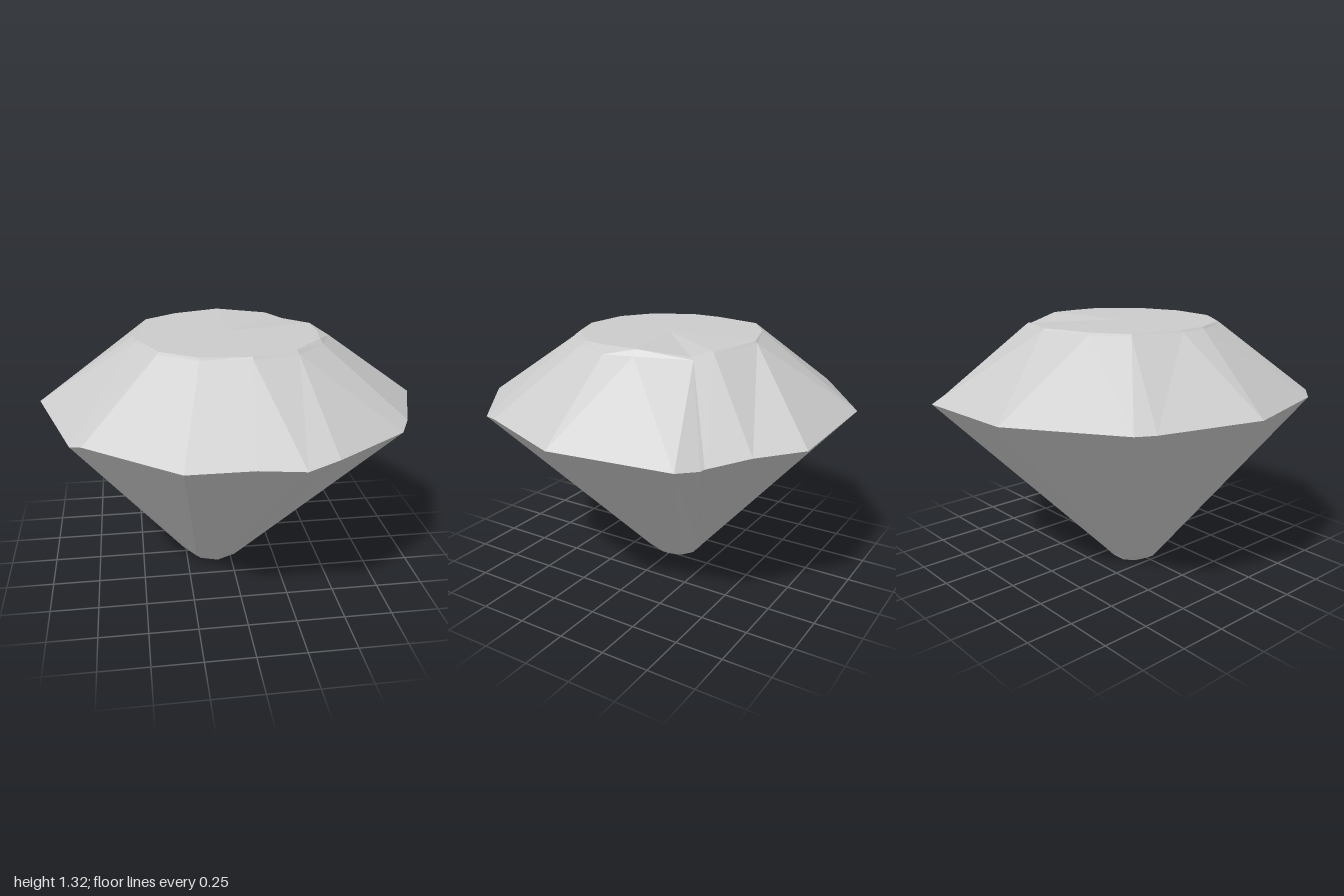
import * as THREE from 'three';

// Rings are listed as [x, y, z], turning from +x towards +z.
const tableRing = [
  [0.46, 1.32, 0.06], [0.44, 1.32, 0.21], [0.28, 1.32, 0.39], [0.05, 1.32, 0.48], [-0.2, 1.32, 0.46],
  [-0.38, 1.32, 0.34], [-0.48, 1.32, 0.12], [-0.48, 1.32, -0.03], [-0.42, 1.32, -0.3],
  [-0.25, 1.32, -0.42], [0, 1.32, -0.5], [0.27, 1.31, -0.41], [0.36, 1.29, -0.34], [0.46, 1.32, -0.1],
];
const shoulderRing = [
  [0.53, 1.29, 0.05], [0.45, 1.3, 0.24], [0.29, 1.3, 0.41], [0.05, 1.31, 0.49], [-0.2, 1.31, 0.48],
  [-0.39, 1.31, 0.35], [-0.49, 1.31, 0.12], [-0.49, 1.31, -0.03], [-0.43, 1.31, -0.31],
  [-0.26, 1.31, -0.43], [0, 1.31, -0.51], [0.28, 1.3, -0.42], [0.37, 1.28, -0.36], [0.49, 1.29, -0.1],
];
const girdleRing = [
  [1, 0.95, 0.03], [0.83, 0.97, 0.5], [0.77, 0.95, 0.61], [0.38, 0.96, 0.9], [0.22, 0.94, 0.96],
  [0, 0.95, 0.94], [-0.32, 0.95, 0.94], [-0.76, 0.97, 0.63], [-0.82, 0.95, 0.57], [-1, 0.97, -0.02],
  [-0.83, 0.96, -0.52], [-0.78, 0.96, -0.61], [-0.27, 0.96, -0.96], [0.36, 0.94, -0.95],
  [0.55, 0.93, -0.77], [0.73, 0.91, -0.63], [0.72, 0.89, -0.6], [0.82, 0.9, -0.53],
];
const tipRing = [
  [0.06, 0.03, 0.01], [0.02, 0.03, 0.12], [-0.08, 0.03, 0.17], [-0.2, 0.04, 0.13], [-0.27, 0.03, 0],
  [-0.24, 0.05, -0.1], [-0.17, 0.06, -0.16], [-0.06, 0.05, -0.16], [0.03, 0.04, -0.1],
];
const culetRing = tipRing.map(([x, , z]) => [-0.1 + (x + 0.1) * 0.72, 0, z * 0.72]);

function centre(ring) {
  return ring.reduce((c, p) => c.map((v, k) => v + p[k] / ring.length), [0, 0, 0]);
}

// Angles of the ring's points about its centre, rising from the first point
function angles(ring) {
  const c = centre(ring);
  const list = [];
  ring.forEach((p, i) => {
    let a = Math.atan2(p[2] - c[2], p[0] - c[0]);
    while (i > 0 && a < list[i - 1] - 1) a += 2 * Math.PI;
    list.push(a);
  });
  list.push(list[0] + 2 * Math.PI);
  return list;
}

// Faceted band joining two rings with different point counts
function band(lower, upper) {
  const la = angles(lower), ua = angles(upper), out = [];
  const lo = (i) => lower[i % lower.length], up = (j) => upper[j % upper.length];
  let i = 0, j = 0;
  while (i < lower.length || j < upper.length) {
    const stepLower = j >= upper.length || (i < lower.length && la[i + 1] <= ua[j + 1]);
    if (stepLower) {
      out.push(lo(i), up(j), lo(i + 1));
      i++;
    } else {
      out.push(lo(i), up(j), up(j + 1));
      j++;
    }
  }
  return out;
}

// Flat fan closing a ring
function cap(ring, facesUp) {
  const c = centre(ring);
  return ring.flatMap((p, i) => {
    const next = ring[(i + 1) % ring.length];
    return facesUp ? [c, next, p] : [c, p, next];
  });
}

export function createModel() {
  const gem = new THREE.Group();
  gem.name = 'gem';
  const material = new THREE.MeshStandardMaterial({ color: 0xcccccc, flatShading: true });

  function add(name, corners) {
    const geometry = new THREE.BufferGeometry();
    geometry.setAttribute('position', new THREE.Float32BufferAttribute(corners.flat(), 3));
    geometry.computeVertexNormals();
    const mesh = new THREE.Mesh(geometry, material);
    mesh.name = name;
    gem.add(mesh);
  }

  // Flat top and sloping crown
  add('table', cap(tableRing, true));
  add('shoulder', band(shoulderRing, tableRing));
  add('crown', band(girdleRing, shoulderRing));

  // Tapering underside with a chipped, blunt tip
  add('pavilion', band(tipRing, girdleRing));
  add('tip', band(culetRing, tipRing));
  add('culet', cap(culetRing, false));

  return gem;
}
